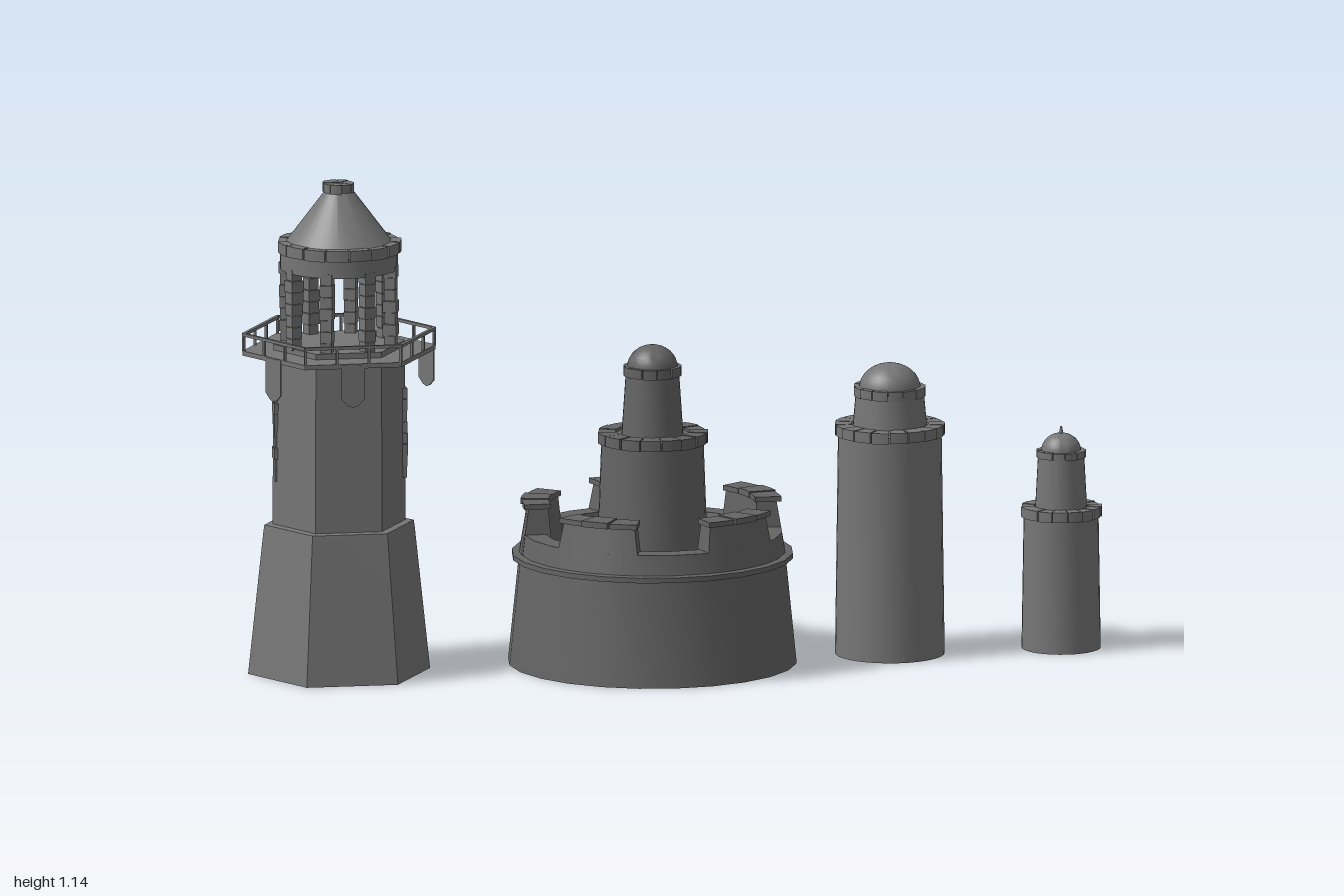
import * as THREE from 'three';
import { mergeGeometries, toCreasedNormals } from 'three/addons/utils/BufferGeometryUtils.js';

const stone = new THREE.MeshStandardMaterial({ color: 0x767676, side: THREE.DoubleSide });
const darkStone = new THREE.MeshStandardMaterial({ color: 0x646464, side: THREE.DoubleSide });
const TAU = Math.PI * 2;

function add(parent, name, geometry) {
  const mesh = new THREE.Mesh(geometry, stone);
  mesh.name = name;
  parent.add(mesh);
  return mesh;
}

function tower(parent, name, x) {
  const group = new THREE.Group();
  group.name = name;
  group.position.x = x;
  parent.add(group);
  return group;
}

// Small repeatable variation for hand-cut stones
function seeded(seed) {
  let s = seed;
  return () => (s = (s * 16807) % 2147483647) / 2147483647;
}

// Revolved wall with sharp profile corners; corners of a hexagon land on +-x
function turned(points, sides = 32) {
  const profile = points.map(([r, y]) => new THREE.Vector2(r, y));
  return toCreasedNormals(new THREE.LatheGeometry(profile, sides, Math.PI / 2), 0.5);
}

// Curved block; angles run from +x towards -z
function arcBlock(r0, r1, a0, a1, y0, y1, steps = 4) {
  const shape = new THREE.Shape();
  shape.absarc(0, 0, r1, a0, a1, false);
  shape.absarc(0, 0, r0, a1, a0, true);
  const g = new THREE.ExtrudeGeometry(shape, { depth: y1 - y0, bevelEnabled: false, curveSegments: steps });
  return g.rotateX(-Math.PI / 2).translate(0, y0, 0);
}

// Ring of slightly uneven bricks
function brickRing(r0, r1, y0, y1, count) {
  const rand = seeded(count * 97 + 11);
  const bricks = [];
  for (let i = 0; i < count; i++) {
    const a = (i / count) * TAU, w = TAU / count;
    const jitter = (rand() - 0.5) * 0.005;
    bricks.push(arcBlock(r0, r1 + jitter, a + w * 0.03, a + w * 0.97, y0 + jitter * 0.6, y1 + jitter * 0.4, 3));
  }
  return mergeGeometries(bricks);
}

// Profile points of a dome
function dome(r, y, h, n = 8) {
  return Array.from({ length: n + 1 }, (_, i) => {
    const t = (i / n) * Math.PI / 2;
    return [i === n ? 0 : r * Math.cos(t), y + h * Math.sin(t)];
  });
}

// Column of stacked uneven stones
function stoneStack(w, d, y0, y1, count, seed) {
  const rand = seeded(seed * 131 + 7);
  const h = (y1 - y0) / count;
  return mergeGeometries(Array.from({ length: count }, (_, i) => {
    const k = 0.85 + rand() * 0.25;
    return new THREE.BoxGeometry(w * k, h * 0.96, d * k).translate(0, y0 + h * (i + 0.5), 0);
  }));
}

function buildLighthouse(root) {
  const t = tower(root, 'hexagonalLighthouse', -0.775);
  add(t, 'flaredBase', turned([[0.212, 0], [0.176, 0.335], [0.174, 0.348], [0.155, 0.35]], 6));
  add(t, 'shaft', turned([[0.155, 0.35], [0.153, 0.77], [0, 0.77]], 6));
  add(t, 'galleryFloor', turned([[0.15, 0.746], [0.225, 0.746], [0.225, 0.757], [0.15, 0.757]], 6));

  // Gallery railing on six sides
  const R = 0.222, apothem = R * Math.cos(Math.PI / 6);
  const sides = [];
  for (let i = 0; i < 6; i++) {
    const side = new THREE.Group();
    side.name = 'gallerySide';
    side.rotation.y = i * TAU / 6;
    t.add(side);
    sides.push(side);
    add(side, 'handrail', new THREE.BoxGeometry(R, 0.007, 0.008)).position.set(0, 0.795, apothem);
    for (let k = 0; k < 3; k++)
      add(side, 'railPost', new THREE.BoxGeometry(0.006, 0.04, 0.006)).position.set(-R / 2 + k * R / 3, 0.775, apothem);
  }

  // Pointed shields hanging from four of the sides: [side, shift along it]
  const shield = new THREE.Shape();
  shield.moveTo(-0.027, 0.1);
  shield.lineTo(-0.027, 0.018);
  shield.lineTo(-0.012, 0.004);
  shield.lineTo(0, 0);
  shield.lineTo(0.012, 0.004);
  shield.lineTo(0.027, 0.018);
  shield.lineTo(0.027, 0.1);
  for (const [i, shift] of [[0, 0], [2, -0.08], [3, 0], [5, 0]]) {
    const plate = new THREE.ExtrudeGeometry(shield, { depth: 0.003, bevelEnabled: false });
    add(sides[i], 'hangingShield', plate).position.set(shift, 0.655, apothem + 0.001);
  }

  // Corner stones on three edges of the shaft
  [[0, 0.149], [120, 0.149], [180, 0.145]].forEach(([deg, r], i) => {
    const a = deg * Math.PI / 180;
    const q = add(t, 'cornerStones', stoneStack(0.016, 0.03, 0.45, 0.66, 8, i + 20));
    q.position.set(Math.cos(a) * r, 0, -Math.sin(a) * r);
    q.rotation.y = a;
  });

  // Open lantern
  for (let i = 0; i < 8; i++) {
    const a = (i + 0.5) * TAU / 8;
    const c = add(t, 'lanternColumn', stoneStack(0.03, 0.03, 0.765, 0.955, 7, i + 1));
    c.position.set(Math.cos(a) * 0.122, 0, -Math.sin(a) * 0.122);
    c.rotation.y = a;
  }
  add(t, 'lanternBand', turned([[0.112, 0.945], [0.136, 0.945], [0.136, 0.988], [0.112, 0.988], [0.112, 0.945]]));
  add(t, 'eavesBricks', brickRing(0.11, 0.141, 0.984, 1.01, 16));
  add(t, 'roof', turned([[0.125, 1.005], [0.118, 1.012], [0.033, 1.125], [0, 1.13]]));
  add(t, 'roofCapBricks', brickRing(0.006, 0.036, 1.122, 1.144, 8));
}

function buildFort(root) {
  const t = tower(root, 'roundFort', -0.045);
  add(t, 'outerWall', turned([[0.333, 0], [0.308, 0.245]], 24));
  add(t, 'ledge', turned([[0.305, 0.245], [0.324, 0.245], [0.324, 0.257], [0.305, 0.259]], 24));
  add(t, 'parapet', turned([[0.307, 0.257], [0.299, 0.305], [0.25, 0.305], [0.242, 0.262]], 24));
  add(t, 'floor', turned([[0.31, 0.258], [0.1, 0.262]], 24));

  // Five tall merlons with overhanging cap stones; walls lean in and narrow upward
  const half = 0.345;
  for (let i = 0; i < 5; i++) {
    const m = new THREE.Group();
    m.name = 'merlon';
    m.rotation.y = Math.PI / 2 + i * TAU / 5;
    t.add(m);
    const g = arcBlock(0.235, 0.306, -half, half, 0.258, 0.37, 8);
    const p = g.attributes.position;
    for (let k = 0; k < p.count; k++) {
      const x = p.getX(k), z = p.getZ(k), up = (p.getY(k) - 0.258) / 0.112;
      const r = Math.hypot(x, z), a = Math.atan2(z, x) * (1.06 - 0.14 * up);
      const nr = r > 0.27 ? r - 0.018 * up : r + 0.008 * up;
      p.setXYZ(k, Math.cos(a) * nr, p.getY(k), Math.sin(a) * nr);
    }
    g.computeVertexNormals();
    add(m, 'merlonWall', g);
    for (let k = 0; k < 3; k++) {
      const a = -half + k * half * 2 / 3;
      add(m, 'capStone', arcBlock(0.238, 0.299 + (k % 2) * 0.004, a + 0.004, a + half * 2 / 3 - 0.004, 0.364, 0.376 + (k % 2) * 0.002));
    }
  }

  add(t, 'keep', turned([[0.127, 0.258], [0.117, 0.53], [0.06, 0.532]]));
  add(t, 'keepBricks', brickRing(0.085, 0.126, 0.513, 0.538, 16));
  add(t, 'turret', turned([[0.071, 0.53], [0.061, 0.68], [0, 0.682]]));
  add(t, 'turretBricks', brickRing(0.045, 0.068, 0.67, 0.692, 12));
  add(t, 'dome', turned(dome(0.058, 0.688, 0.052)));
  t.traverse((part) => { if (part.isMesh) part.material = darkStone; });
}

function buildTallTower(root) {
  const t = tower(root, 'tallRoundTower', 0.508);
  add(t, 'shaft', turned([[0.126, 0], [0.119, 0.525], [0.07, 0.527]]));
  add(t, 'parapetBricks', brickRing(0.088, 0.126, 0.513, 0.538, 18));
  add(t, 'drum', turned([[0.086, 0.525], [0.078, 0.615], [0, 0.617]]));
  add(t, 'drumBricks', brickRing(0.055, 0.083, 0.604, 0.626, 14));
  add(t, 'dome', turned(dome(0.071, 0.62, 0.059)));
}

function buildSmallTower(root) {
  const t = tower(root, 'smallRoundTower', 0.907);
  add(t, 'shaft', turned([[0.091, 0], [0.086, 0.32], [0.05, 0.322]]));
  add(t, 'parapetBricks', brickRing(0.062, 0.092, 0.308, 0.332, 16));
  add(t, 'turret', turned([[0.06, 0.32], [0.053, 0.452], [0, 0.454]]));
  add(t, 'turretBricks', brickRing(0.036, 0.058, 0.447, 0.463, 12));
  add(t, 'dome', turned(dome(0.046, 0.46, 0.042)));
  add(t, 'finial', new THREE.CylinderGeometry(0.002, 0.006, 0.02, 8)).position.y = 0.507;
}

export function createModel() {
  const root = new THREE.Group();
  root.name = 'towers';
  buildLighthouse(root);
  buildFort(root);
  buildTallTower(root);
  buildSmallTower(root);
  return root;
}
